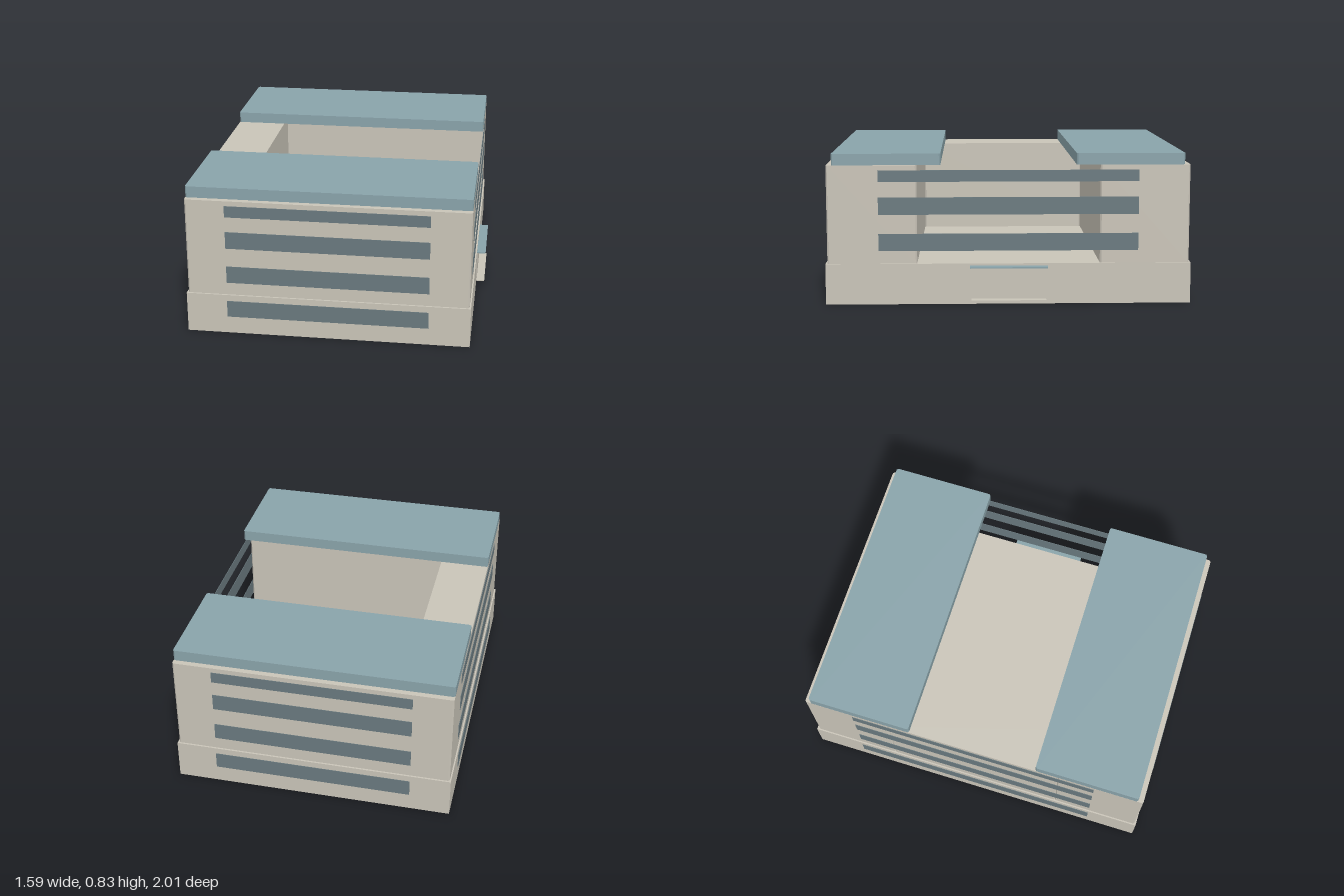
import * as THREE from 'three';

const material = (name, color) => {
  const m = new THREE.MeshStandardMaterial({ color });
  m.name = name;
  return m;
};

export function createModel() {
  const model = new THREE.Group();
  model.name = 'courtyardBuilding';
  const stone = material('warm stone', 0xc9c4b8);
  const roofBlue = material('roof blue', 0x89a3aa);
  const glass = material('window slate', 0x69797e);

  const add = (name, geometry, mat) => {
    const mesh = new THREE.Mesh(geometry, mat);
    mesh.name = name;
    model.add(mesh);
    return mesh;
  };

  // Plain box given by its limits
  const box = (name, mat, [x0, x1], [y0, y1], [z0, z1]) =>
    add(name, new THREE.BoxGeometry(x1 - x0, y1 - y0, z1 - z0), mat)
      .position.set((x0 + x1) / 2, (y0 + y1) / 2, (z0 + z1) / 2);

  // Upright block with chamfered vertical corners
  const block = (name, mat, [x0, x1], [y0, y1], [z0, z1], c = 0.008) => {
    const shape = new THREE.Shape([
      [x0 + c, -z1], [x1 - c, -z1], [x1, c - z1], [x1, -z0 - c],
      [x1 - c, -z0], [x0 + c, -z0], [x0, -z0 - c], [x0, c - z1],
    ].map(([x, y]) => new THREE.Vector2(x, y)));
    const g = new THREE.ExtrudeGeometry(shape, { depth: y1 - y0, bevelEnabled: false });
    g.rotateX(-Math.PI / 2);
    g.translate(0, y0, 0);
    add(name, g, mat);
  };

  // Ground floor and the U of upper floors around the courtyard
  box('groundFloor', stone, [-0.795, 0.745], [0, 0.225], [-1, 1]);
  block('rearSpine', stone, [-0.787, -0.505], [0.225, 0.765], [-0.5, 0.5]);
  for (const s of [1, -1]) {
    const span = (a, b) => [s * a, s * b].sort((p, q) => p - q);
    const side = s > 0 ? 'front' : 'back';
    block(side + 'Wing', stone, [-0.787, 0.737], [0.225, 0.765], span(0.5, 0.99));
    block(side + 'Roof', roofBlue, [-0.787, 0.737], [0.766, 0.828], span(0.37, 0.96));
  }

  // Window bands: the lowest row sits on the wider ground floor
  const rows = [[0.097, 0.19], [0.295, 0.39], [0.495, 0.59], [0.675, 0.738]];
  const t = 0.003;
  rows.forEach((y, i) => {
    const out = i === 0 ? 0.01 : 0;
    box('frontWindowBand', glass, [-0.572, 0.522], y, [0.99 + out, 0.99 + out + t]);
    box('backWindowBand', glass, [-0.572, 0.522], y, [-0.99 - out - t, -0.99 - out]);
    const w = i === 0 ? 0.795 : 0.787;
    box('rightWindowBand', glass, [-w - t, -w], y, [-0.71, 0.71]);
    // Open bands bridge the mouth of the courtyard
    if (i > 0) box('courtyardWindowBand', glass, [0.737, 0.737 + t], y, [-0.71, 0.71]);
  });

  // Entrance: panel, canopy and step
  box('entrancePanel', stone, [0.745, 0.748], [0.026, 0.206], [-0.205, 0.205]);
  box('entranceCanopy', roofBlue, [0.745, 0.795], [0.206, 0.213], [-0.213, 0.213]);
  box('entranceStep', stone, [0.745, 0.793], [0.024, 0.029], [-0.205, 0.205]);

  return model;
}
